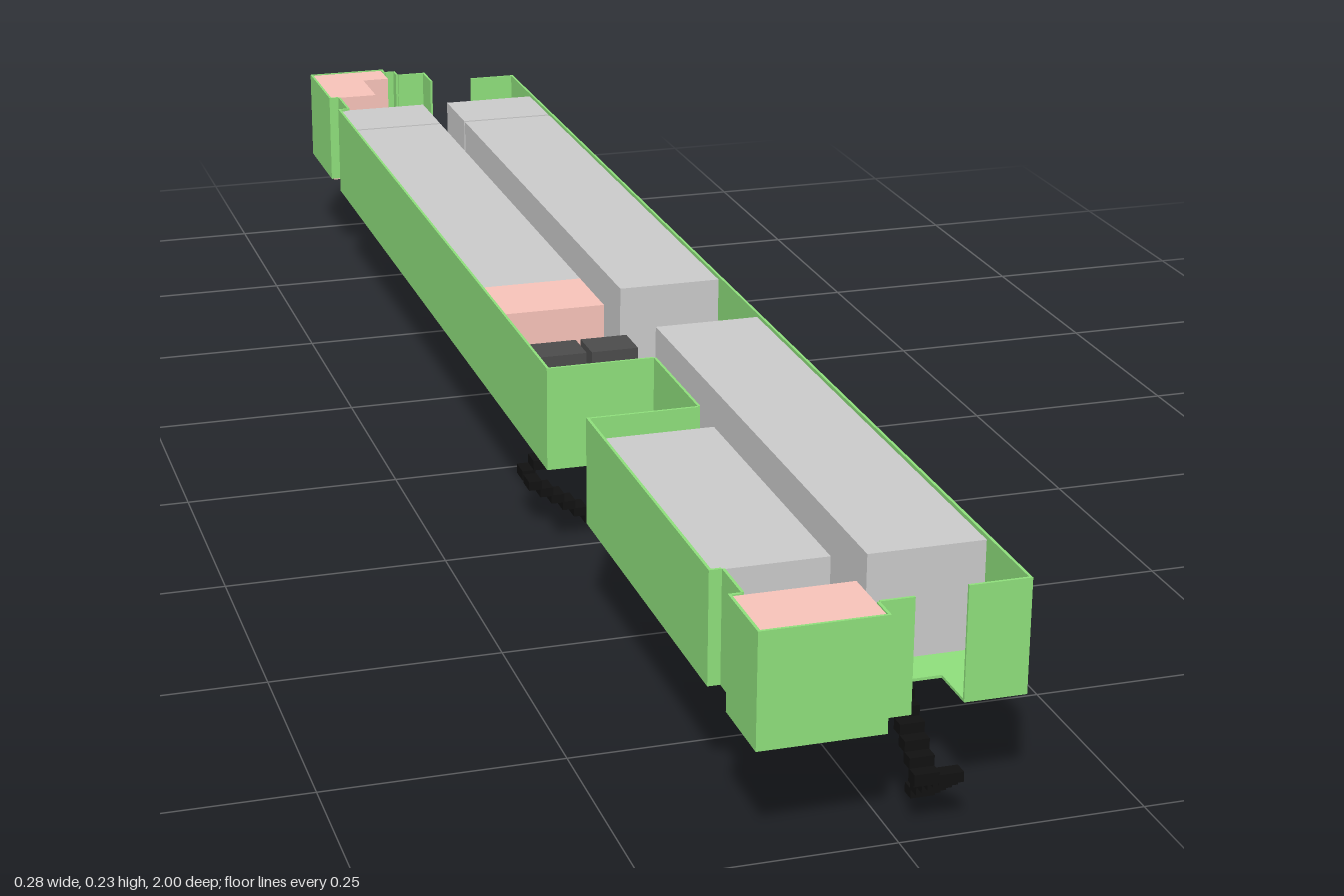
import * as THREE from 'three';

const FLOOR = 0.118, TOP = 0.235, T = 0.003;

const GREEN = new THREE.MeshStandardMaterial({ color: 0x8fe07c });
const PINK = new THREE.MeshStandardMaterial({ color: 0xf8c4ba });
const GREY = new THREE.MeshStandardMaterial({ color: 0xcccccc });
const DARK = new THREE.MeshStandardMaterial({ color: 0x4c4c4c });
const BLACK = new THREE.MeshStandardMaterial({ color: 0x111111 });

// Box given by its extents on each axis
function block(parent, name, mat, [x0, x1], [y0, y1], [z0, z1]) {
  const m = new THREE.Mesh(new THREE.BoxGeometry(x1 - x0, y1 - y0, z1 - z0), mat);
  m.position.set((x0 + x1) / 2, (y0 + y1) / 2, (z0 + z1) / 2);
  m.name = name;
  parent.add(m);
  return m;
}

// Flat slab from an (x, z) outline, between two heights
function slab(parent, name, mat, pts, y0, y1, holes = []) {
  const v = (list) => list.map(([x, z]) => new THREE.Vector2(x, z));
  const shape = new THREE.Shape(v(pts));
  holes.forEach((h) => shape.holes.push(new THREE.Path(v(h))));
  const geo = new THREE.ExtrudeGeometry(shape, { depth: y1 - y0, bevelEnabled: false });
  geo.rotateX(Math.PI / 2);
  const m = new THREE.Mesh(geo, mat);
  m.position.y = y1;
  m.name = name;
  parent.add(m);
}

// Folding stair of two side-by-side flights: runs out along +z, then back
function stair(name) {
  const g = new THREE.Group();
  g.name = name;
  const n = 6, run = 0.08, w = 0.025, step = run / n;
  for (let i = 0; i < n; i++) {
    const z = i * step, y = 0.117 - (i + 1) * 0.011;
    block(g, 'upperStep', BLACK, [-w, 0], [y, y + 0.0115], [z, z + step + 0.002]);
    const yl = 0.048 - i * 0.0096, zl = run - i * step;
    block(g, 'lowerStep', BLACK, [0, w], [yl, yl + 0.0105], [zl - step - 0.001, zl + 0.001]);
  }
  block(g, 'landing', BLACK, [-w, w], [0.049, 0.0585], [run - step, run]);
  return g;
}

export function createModel() {
  const root = new THREE.Group();
  root.name = 'deck';

  // Outline of the deck, clockwise; a third entry marks an open edge after that point
  const outline = [
    [-0.143, 1], [-0.015, 1], [-0.015, 0.97], [0.02, 0.97, 1], [0.02, 0.905, 1], [0.077, 0.905, 1],
    [0.077, 0.96], [0.141, 0.96], [0.141, -0.915], [0.077, -0.915, 1], [0.02, -0.915],
    [0.02, -0.965], [-0.02, -0.965], [-0.02, -0.985], [-0.035, -0.985], [-0.035, -1],
    [-0.143, -1], [-0.143, -0.865], [-0.13, -0.865], [-0.13, -0.805], [-0.143, -0.805],
    [-0.143, 0.295], [-0.02, 0.295], [-0.02, 0.45], [-0.143, 0.45],
    [-0.143, 0.86], [-0.13, 0.86], [-0.13, 0.915], [-0.143, 0.915],
  ];

  // Floor with the side stair opening
  const opening = [[-0.138, 0.135], [-0.055, 0.135], [-0.055, 0.182], [-0.138, 0.182]];
  slab(root, 'floor', GREEN, outline, FLOOR - T, FLOOR, [opening]);

  // Walls along the outline, set just inside it
  const walls = new THREE.Group();
  walls.name = 'walls';
  outline.forEach(([x0, z0, open], i) => {
    if (open) return;
    const [x1, z1] = outline[(i + 1) % outline.length];
    const dx = x1 - x0, dz = z1 - z0, len = Math.hypot(dx, dz);
    const wall = new THREE.Mesh(new THREE.BoxGeometry(len, TOP - FLOOR + T, T), GREEN);
    wall.position.set((x0 + x1) / 2 + (dz / len) * T / 2, (TOP + FLOOR - T) / 2, (z0 + z1) / 2 - (dx / len) * T / 2);
    wall.rotation.y = Math.atan2(-dz, dx);
    wall.name = 'wall';
    walls.add(wall);
  });
  root.add(walls);

  // Long equipment rows on both sides of the aisle
  const H = [FLOOR, 0.232];
  const right = [-0.139, -0.02], left = [0.015, 0.137];
  for (const z of [[-0.805, -0.705], [-0.7, 0], [0.505, 0.855]]) block(root, 'rightRow', GREY, right, H, z);
  for (const z of [[-0.805, -0.705], [-0.7, 0.05], [0.19, 0.86]]) block(root, 'leftRow', GREY, left, H, z);

  // Cabins
  block(root, 'middleCabin', PINK, right, H, [0, 0.1]);
  block(root, 'frontCabin', PINK, [-0.1395, -0.0185], [FLOOR, 0.234], [0.919, 0.9965]);
  slab(root, 'backCabin', PINK, [
    [-0.1395, -0.9965], [-0.0385, -0.9965], [-0.0385, -0.95], [-0.075, -0.95], [-0.075, -0.867], [-0.1395, -0.867],
  ], 0.113, 0.234);

  // Pair of lockers beside the side stair
  for (const x of [[-0.136, -0.08], [-0.074, -0.02]]) block(root, 'locker', DARK, x, [FLOOR, 0.226], [0.19, 0.235]);

  // Shallow cross ribs beneath the floor
  for (let i = 0; i < 28; i++) {
    const z = -0.79 + i * 0.06;
    const y = [FLOOR - T - 0.001, FLOOR - T];
    block(root, 'floorRib', GREEN, [0.022, 0.13], y, [z, z + 0.045]);
    if (z < 0.07 || z > 0.46) block(root, 'floorRib', GREEN, [-0.125, -0.025], y, [z, z + 0.045]);
  }

  // Stairs at the front, back and side
  const front = stair('frontStair');
  front.position.set(0.0425, 0, 0.908);
  const back = stair('backStair');
  back.rotation.y = Math.PI;
  back.position.set(0.05, 0, -0.914);
  const side = stair('sideStair');
  side.rotation.y = -Math.PI / 2;
  side.position.set(-0.055, 0, 0.166);
  // Upper flight of the side stair lies towards the back
  root.add(front, back, side);

  return root;
}
